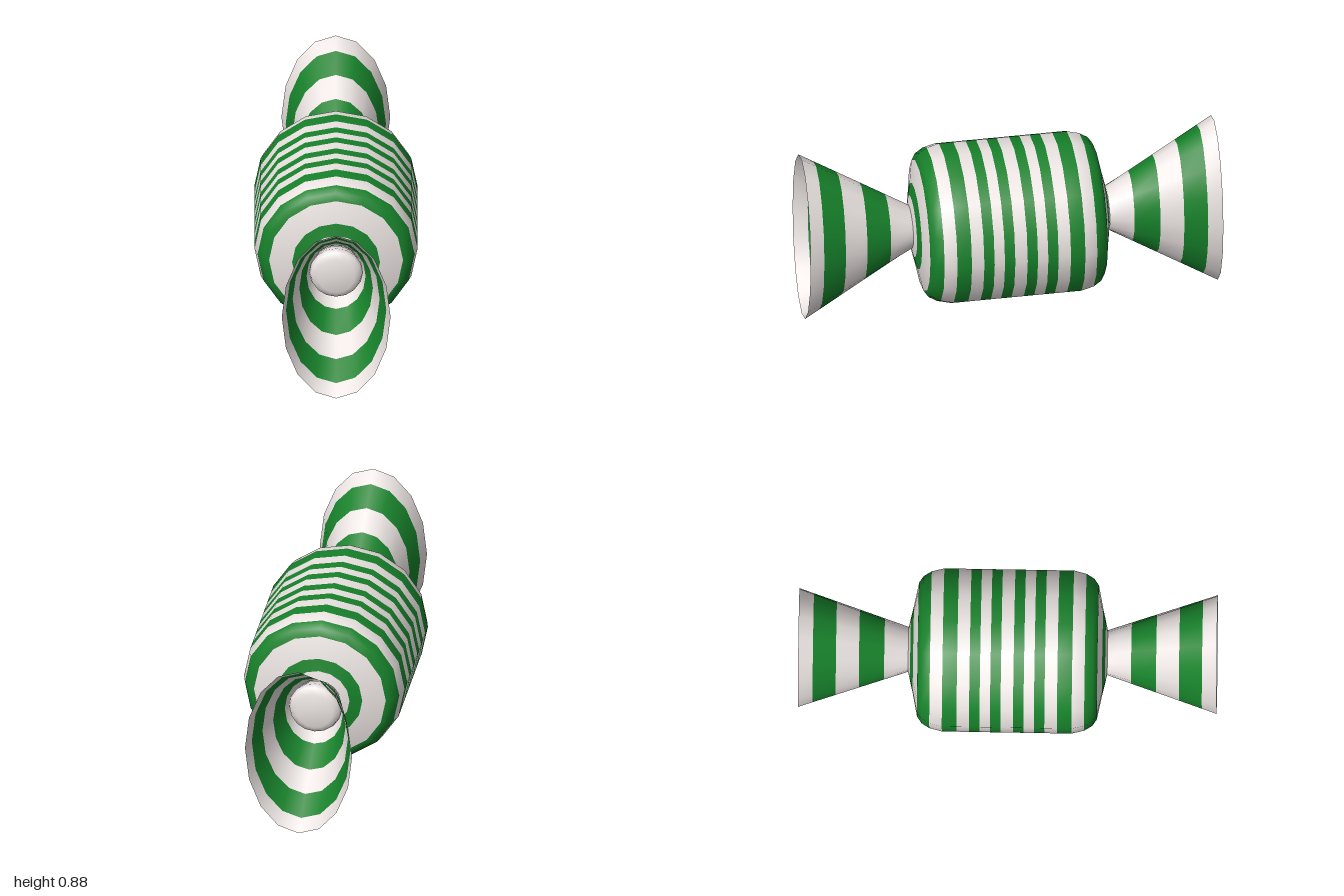
import * as THREE from 'three';
import { mergeVertices } from 'three/addons/utils/BufferGeometryUtils.js';

const SIDES = 16;
const CENTRE_Y = 0.4425;
const COLORS = { white: 0xeae3e1, green: 0x17822b };

// Smooth surface of revolution along z; profile rows are [radius, z]
function revolve(profile, shape) {
  const points = profile.map(([r, z]) => new THREE.Vector2(r, z));
  let geo = new THREE.LatheGeometry(points, SIDES);
  geo.rotateX(Math.PI / 2);
  if (shape) shape(geo.attributes.position);
  geo.deleteAttribute('uv');
  geo.deleteAttribute('normal');
  geo = mergeVertices(geo, 1e-5);
  geo.computeVertexNormals();
  return geo;
}

// Splits a revolved surface into white and green meshes; isGreen has one flag per profile step
function striped(name, geo, isGreen, side) {
  const group = new THREE.Group();
  group.name = name;
  const index = Array.from(geo.index.array);
  for (const color of ['white', 'green']) {
    const part = geo.clone();
    part.setIndex(index.filter((_, k) =>
      isGreen[Math.floor(k / 6) % isGreen.length] === (color === 'green')));
    const mesh = new THREE.Mesh(part, new THREE.MeshStandardMaterial({ color: COLORS[color], side }));
    mesh.name = `${name} ${color} stripes`;
    group.add(mesh);
  }
  return group;
}

export function createModel() {
  const model = new THREE.Group();
  model.name = 'wrappedCandy';

  // Body: half profile from the middle to the end, with the colour of the step that leads to each point
  const half = [
    [0.39, 0.03, false], [0.39, 0.08, true], [0.39, 0.13, false], [0.39, 0.18, true],
    [0.39, 0.24, false], [0.39, 0.31, true], [0.375, 0.37, false], [0.352, 0.408, true],
    [0.32, 0.43, true], [0.21, 0.452, false], [0.15, 0.466, true], [0.105, 0.476, false],
  ];
  const back = half.slice().reverse();
  const profile = [...back.map(([r, z]) => [r, -z]), ...half.map(([r, z]) => [r, z])];
  const flags = [...back.slice(0, -1).map((p) => p[2]), ...half.map((p) => p[2])];
  const body = striped('body', revolve(profile), flags, THREE.FrontSide);
  model.add(body);

  // Wrapper ends: flared cones, round at the neck and oval at the rim
  const rings = [0.476, 0.53, 0.59, 0.71, 0.82, 0.93, 1];
  const heightAt = (z) => THREE.MathUtils.mapLinear(z, 0.476, 1, 0.105, 0.4425);
  const widthAt = (z) => THREE.MathUtils.mapLinear(z, 0.476, 1, 0.108, 0.26);
  const coneGeo = revolve(rings.map((z) => [heightAt(z), z]), (pos) => {
    for (let i = 0; i < pos.count; i++) {
      const z = pos.getZ(i);
      pos.setX(i, pos.getX(i) * widthAt(z) / heightAt(z));
    }
  });
  // Rounded plug that closes the inside of each neck
  const plugGeo = revolve([[0.105, 0.48], [0.128, 0.55], [0.12, 0.575], [0.09, 0.592], [0, 0.598]]);

  for (const [name, turn] of [['front', 0], ['back', Math.PI]]) {
    const end = new THREE.Group();
    end.name = `${name}WrapperEnd`;
    end.add(striped(`${name}Cone`, coneGeo, [false, false, true, false, true, false], THREE.DoubleSide));
    const plug = new THREE.Mesh(plugGeo, new THREE.MeshStandardMaterial({ color: COLORS.white }));
    plug.name = `${name}NeckPlug`;
    end.add(plug);
    end.rotation.y = turn;
    model.add(end);
  }

  model.children.forEach((part) => { part.position.y = CENTRE_Y; });
  return model;
}
